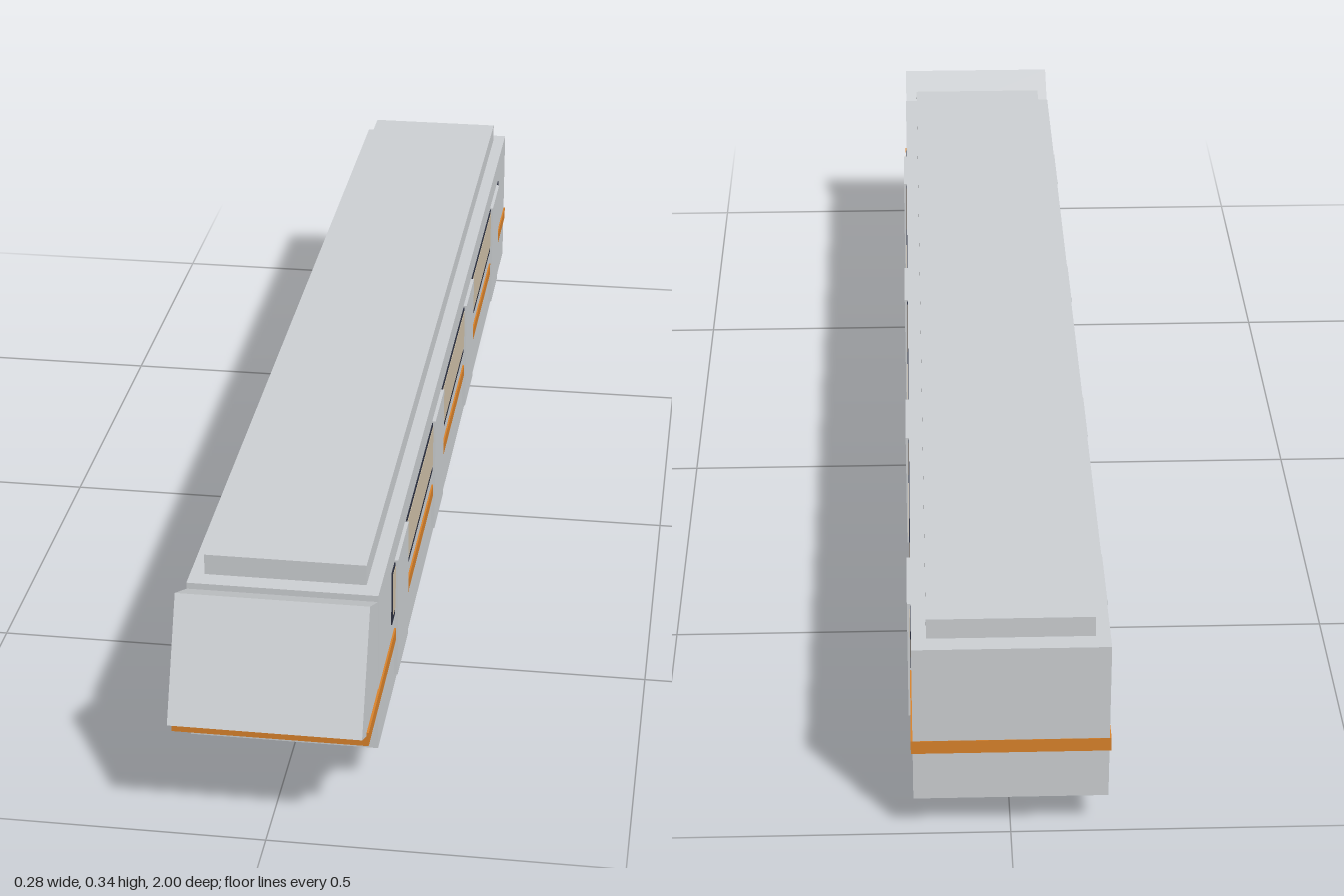
import * as THREE from 'three';

const paint = (name, color) => {
  const m = new THREE.MeshStandardMaterial({ color });
  m.name = name;
  return m;
};

export function createModel() {
  const train = new THREE.Group();
  train.name = 'railcar';
  const grey = paint('bodyGrey', 0xcccfd2);
  const orange = paint('stripeOrange', 0xd9822b);
  const dark = paint('chassisNavy', 0x3a4052);
  const trim = paint('frameDark', 0x2c3040);
  const glass = paint('warmGlass', 0xcfc1a8);

  // Box given by its lower and upper limits on each axis
  const box = (name, mat, [x0, x1], [y0, y1], [z0, z1]) => {
    const mesh = new THREE.Mesh(new THREE.BoxGeometry(x1 - x0, y1 - y0, z1 - z0), mat);
    mesh.position.set((x0 + x1) / 2, (y0 + y1) / 2, (z0 + z1) / 2);
    mesh.name = name;
    train.add(mesh);
    return mesh;
  };
  const wide = (w) => [-w, w];

  // Body shell and raised roof
  box('body', grey, wide(0.1355), [0.061, 0.31], [-1, 0.84]);
  box('roof', grey, wide(0.115), [0.31, 0.341], [-0.973, 0.812]);

  // Tilted cab nose
  const nose = new THREE.Mesh(new THREE.BoxGeometry(0.27, 0.182, 0.143), grey);
  nose.name = 'nose';
  nose.position.set(0, 0.2255, 0.894);
  nose.rotation.x = -0.446;
  train.add(nose);

  // Waist stripe, running forward under the nose
  box('stripe', orange, wide(0.138), [0.138, 0.159], [-1.0005, 0.955]);

  // Underframe and bogies
  box('underframe', dark, wide(0.122), [0.025, 0.062], [-0.907, 0.748]);
  box('frontBogie', dark, wide(0.108), [0, 0.026], [0.428, 0.664]);
  box('rearBogie', dark, wide(0.108), [0, 0.026], [-0.826, -0.585]);

  // Window bands and doors on both sides
  for (const side of [-1, 1]) {
    const label = side > 0 ? 'left' : 'right';
    const plate = (a, b) => (side > 0 ? [a, b] : [-b, -a]);
    box(label + 'WindowFrame', trim, plate(0.133, 0.1368), [0.184, 0.269], [-0.862, 0.702]);
    box(label + 'WindowGlass', glass, plate(0.134, 0.1375), [0.195, 0.263], [-0.852, 0.692]);
    for (let i = 0; i < 4; i++) {
      const z = 0.608 - i * 0.4597;
      box(label + 'Door' + (i + 1), grey, plate(0.132, 0.141), [0.08, 0.272], [z - 0.06, z + 0.06]);
    }
  }
  return train;
}
